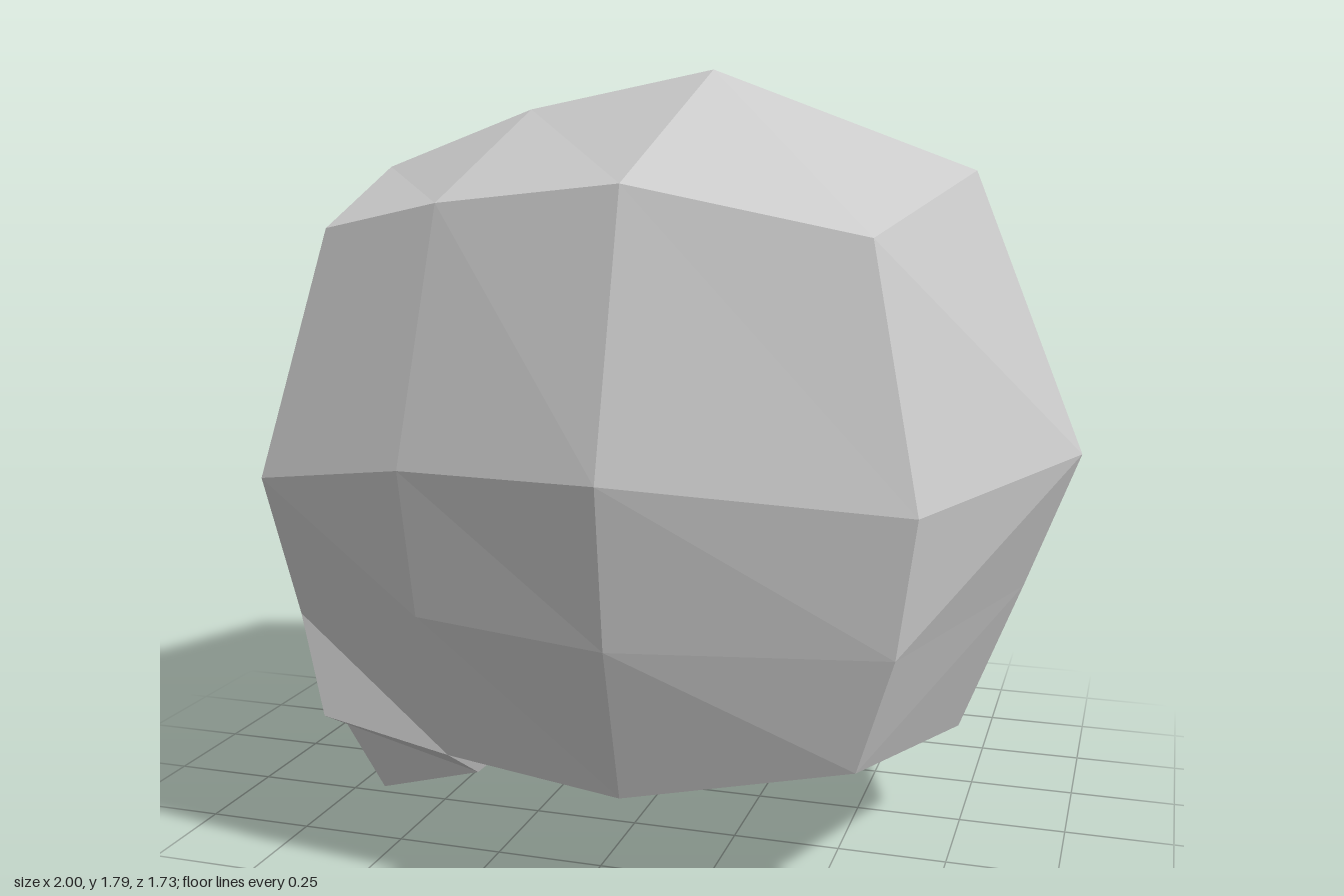
import * as THREE from 'three';

// Builds a faceted mesh from polygons of the +z half, mirrored to -z.
function mirroredMesh(name, polygons, material) {
  const positions = [];
  const addTriangle = (a, b, c) => {
    positions.push(...a, ...b, ...c);
    for (const [x, y, z] of [a, c, b]) positions.push(x, y, -z);
  };
  for (const p of polygons) {
    for (let i = 1; i < p.length - 1; i++) addTriangle(p[0], p[i], p[i + 1]);
  }
  const geometry = new THREE.BufferGeometry();
  geometry.setAttribute('position', new THREE.Float32BufferAttribute(positions, 3));
  geometry.computeVertexNormals();
  const mesh = new THREE.Mesh(geometry, material);
  mesh.name = name;
  return mesh;
}

export function createModel() {
  const group = new THREE.Group();
  group.name = 'skull';
  const material = new THREE.MeshStandardMaterial({
    color: 0xcccccc, flatShading: true, side: THREE.DoubleSide,
  });

  // Half cross-sections of the cranium, from crown to base
  const back = [[0.74, 1.56, 0], [0.61, 1.44, 0.59], [0.73, 0.905, 0.7],
    [0.69, 0.61, 0.69], [0.61, 0.355, 0.66], [0.74, 0.24, 0]];
  const middle = [[0.12, 1.79, 0], [0.12, 1.545, 0.7], [0.12, 0.965, 0.865],
    [0.12, 0.615, 0.82], [0.12, 0.265, 0.72], [0.12, 0.135, 0]];
  const fore = [[-0.34, 1.7, 0], [-0.3, 1.5, 0.655], [-0.34, 0.955, 0.79],
    [-0.32, 0.635, 0.76], [-0.29, 0.3, 0.68], [-0.34, 0.175, 0]];
  const front = [[-0.72, 1.56, 0], [-0.59, 1.44, 0.59], [-0.71, 0.9, 0.7],
    [-0.66, 0.58, 0.64], [-0.595, 0.355, 0.67]];
  const [foreheadTop, foreheadSide, temple, socketOuter, cheekCorner] = front;

  // Cranium walls
  const cranium = [];
  const sections = [back, middle, fore, front];
  for (let s = 0; s < 3; s++) {
    const a = sections[s], b = sections[s + 1];
    for (let r = 0; r < b.length - 1; r++) cranium.push([b[r], b[r + 1], a[r + 1], a[r]]);
  }

  // Back of the head
  const backPeak = [1, 0.92, 0], backLow = [0.88, 0.6, 0];
  cranium.push([backPeak, back[0], back[1]], [backPeak, back[1], back[2]],
    [backPeak, back[2], back[3], backLow],
    [backLow, back[3], back[4]], [backLow, back[4], back[5]]);

  // Brow and forehead
  const browMid = [-0.89, 0.95, 0], browInner = [-0.89, 0.95, 0.11];
  const browArch = [-0.81, 0.94, 0.46], browOuter = [-0.72, 0.8, 0.59];
  cranium.push([foreheadSide, foreheadTop, browMid, browInner, browArch, temple],
    [temple, browArch, browOuter, socketOuter]);

  // Recessed eye sockets
  const socketLow = [-0.79, 0.63, 0.32], noseSide = [-0.87, 0.74, 0.13];
  const socketDepth = [-0.57, 0.72, 0.36];
  const rim = [browInner, noseSide, socketLow, socketOuter, browOuter, browArch];
  const sockets = rim.map((p, i) => [socketDepth, p, rim[(i + 1) % rim.length]]);

  // Nose
  const bridge = [-0.93, 0.75, 0], tip = [-1, 0.65, 0];
  const noseBase = [-0.85, 0.51, 0], nostril = [-0.84, 0.51, 0.1];
  const nose = [[browMid, bridge, noseSide, browInner], [bridge, tip, noseSide],
    [tip, noseBase, nostril, noseSide]];

  // Cheeks and mouth
  const cheek = [-0.67, 0.45, 0.41], mouthCorner = [-0.77, 0.33, 0.16];
  const mouthInner = [-0.79, 0.42, 0], lip = [-0.85, 0.41, 0];
  const jawCorner = [-0.72, 0.31, 0.42];
  const cheeks = [[noseSide, nostril, cheek, socketLow], [socketLow, cheek, socketOuter],
    [socketOuter, cheek, cheekCorner], [nostril, mouthCorner, cheek],
    [cheek, mouthCorner, jawCorner, cheekCorner],
    [noseBase, mouthInner, mouthCorner, nostril], [mouthInner, lip, mouthCorner]];

  // Jaw: chin, sides, underside and the slope back to the cranium
  const chinTop = [-0.8, 0.24, 0], chinFront = [-0.74, 0.05, 0], chinBase = [-0.69, 0, 0];
  const jawLow = [-0.62, 0.055, 0.34], jawBack = [-0.4, 0.08, 0], jawHinge = [-0.36, 0.13, 0.36];
  const jaw = [[lip, chinTop, jawCorner, mouthCorner],
    [chinTop, chinFront, jawLow, jawCorner], [chinFront, chinBase, jawLow],
    [chinBase, jawBack, jawHinge, jawLow], [jawCorner, jawLow, jawHinge],
    [jawBack, fore[5], fore[4], jawHinge], [jawHinge, fore[4], cheekCorner, jawCorner]];

  const parts = { cranium, eyeSockets: sockets, nose, cheeks, jaw };
  for (const [name, polygons] of Object.entries(parts)) {
    group.add(mirroredMesh(name, polygons, material));
  }
  return group;
}
